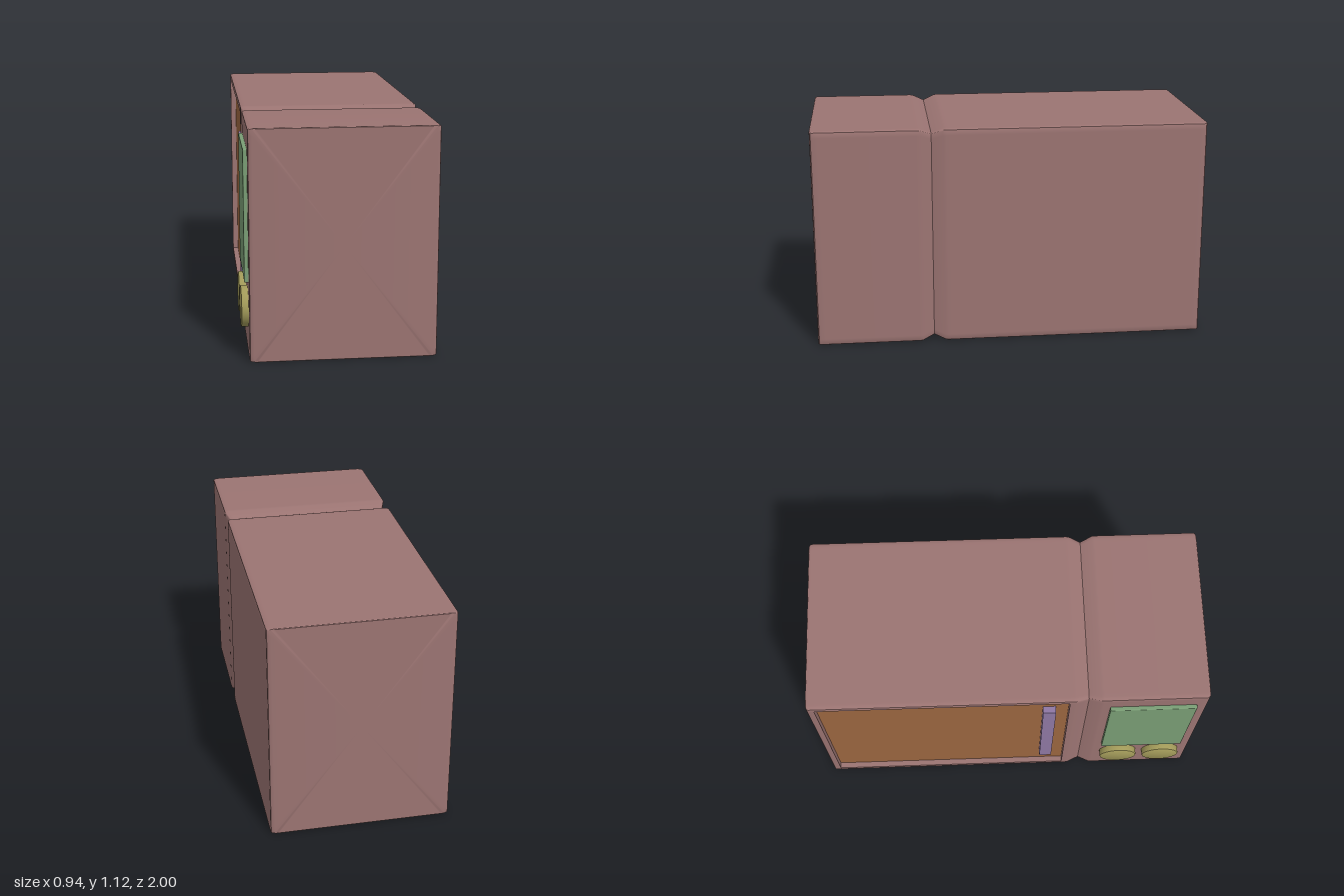
import * as THREE from 'three';
import { toCreasedNormals } from 'three/addons/utils/BufferGeometryUtils.js';
import { RoundedBoxGeometry } from 'three/addons/geometries/RoundedBoxGeometry.js';

const CX = 0.015, CY = 0.5625;         // centre of the case
const HX = 0.45, HY = 0.5625;          // half width and height
const RX = 0.025, RY = 0.007;          // soft corner radii
const MARGIN = 0.033;                  // rim around the door opening
const DOOR = { z0: -0.96, z1: 0.305, y0: MARGIN, y1: 2 * HY - MARGIN };
const FACE = CX - HX;                  // x of the working side
const DEPTH = 0.03;                    // how far the door is sunk

const mat = (color, side = THREE.FrontSide) => new THREE.MeshStandardMaterial({ color, side });

// Rounded rectangle, counter-clockwise, with points where the door opening starts
function section() {
  const pts = [], steps = 6;
  for (let q = 0; q < 4; q++) {
    const sx = q === 0 || q === 3 ? 1 : -1, sy = q < 2 ? 1 : -1;
    const side = [sx * HX, sy * (HY - MARGIN)], flat = [sx * (HX - 0.04), sy * HY];
    pts.push(q % 2 ? flat : side);
    for (let i = 0; i <= steps; i++) {
      const a = (q + i / steps) * Math.PI / 2;
      pts.push([sx * (HX - RX) + RX * Math.cos(a), sy * (HY - RY) + RY * Math.sin(a)]);
    }
    pts.push(q % 2 ? side : flat);
  }
  return pts;
}

// Case lofted along z with a pinched groove and an open door bay
function caseGeometry() {
  const base = section(), n = base.length, openEdge = n / 2 - 1;
  // z, inset in x, inset in y
  const stations = [
    [-1, 0.022, 0.003], [-0.998, 0.011, 0.001], [-0.993, 0.003, 0], [-0.985, 0, 0],
    [DOOR.z0, 0, 0], [DOOR.z1, 0, 0], [0.325, 0, 0], [0.34, 0.001, 0.001],
    [0.4, 0.023, 0.025],
    [0.46, 0.001, 0.001], [0.475, 0, 0], [0.96, 0, 0],
    [0.985, 0, 0], [0.993, 0.003, 0], [0.998, 0.011, 0.001], [1, 0.022, 0.003],
  ];
  const rings = stations.map(([z, ix, iy]) => base.map(([x, y]) =>
    [CX + x * (HX - ix) / HX, CY + y * (HY - iy) / HY, z]));
  const pos = [];
  const tri = (...p) => p.forEach((v) => pos.push(...v));
  for (let j = 0; j < rings.length - 1; j++) {
    for (let i = 0; i < n; i++) {
      if (stations[j][0] === DOOR.z0 && i === openEdge) continue;
      const k = (i + 1) % n, a = rings[j], b = rings[j + 1];
      tri(a[i], a[k], b[k]);
      tri(a[i], b[k], b[i]);
    }
  }
  const back = rings[0], front = rings[rings.length - 1];
  for (let i = 0; i < n; i++) {
    const k = (i + 1) % n;
    tri([CX, CY, 1], front[i], front[k]);
    tri([CX, CY, -1], back[k], back[i]);
  }
  const g = new THREE.BufferGeometry();
  g.setAttribute('position', new THREE.Float32BufferAttribute(pos, 3));
  return toCreasedNormals(g, 0.5);
}

export function createModel() {
  const root = new THREE.Group();
  const add = (name, geometry, material, x, y, z, parent = root) => {
    const m = new THREE.Mesh(geometry, material);
    m.name = name;
    m.position.set(x, y, z);
    parent.add(m);
    return m;
  };
  const bodyColor = 0x9b7472;
  add('case', caseGeometry(), mat(bodyColor), 0, 0, 0);

  // Walls of the door bay
  const bay = new THREE.Group();
  bay.name = 'doorBay';
  root.add(bay);
  const wall = mat(bodyColor, THREE.DoubleSide);
  const dz = DOOR.z1 - DOOR.z0, dy = DOOR.y1 - DOOR.y0;
  const mz = (DOOR.z0 + DOOR.z1) / 2, my = (DOOR.y0 + DOOR.y1) / 2;
  const wx = FACE + DEPTH / 2;
  for (const z of [DOOR.z0, DOOR.z1])
    add('baySide', new THREE.PlaneGeometry(DEPTH, dy), wall, wx, my, z, bay);
  for (const y of [DOOR.y0, DOOR.y1])
    add('bayLedge', new THREE.PlaneGeometry(DEPTH, dz), wall, wx, y, mz, bay).rotation.x = -Math.PI / 2;

  // Sunken door with its upright handle
  add('door', new THREE.BoxGeometry(0.02, dy, dz), mat(0x9c6640), FACE + DEPTH + 0.01, my, mz);
  add('handle', new THREE.BoxGeometry(0.04, 0.78, 0.065), mat(0x8f78a4), FACE + 0.015, 0.58, 0.2075);

  // Control side: display panel and two dials
  add('displayPanel', new RoundedBoxGeometry(0.04, 0.64, 0.435, 2, 0.006), mat(0x7a9e75),
    FACE, 0.70, 0.7275);
  const profile = [[0, 0], [0.1, 0], [0.1, 0.03], [0.098, 0.034], [0.094, 0.036], [0, 0.036]]
    .map(([r, h]) => new THREE.Vector2(r, h));
  const dial = toCreasedNormals(new THREE.LatheGeometry(profile, 48), 0.6);
  for (const z of [0.61, 0.845])
    add('dial', dial, mat(0xa39b5a), FACE + 0.001, 0.235, z).rotation.z = Math.PI / 2;

  return root;
}
